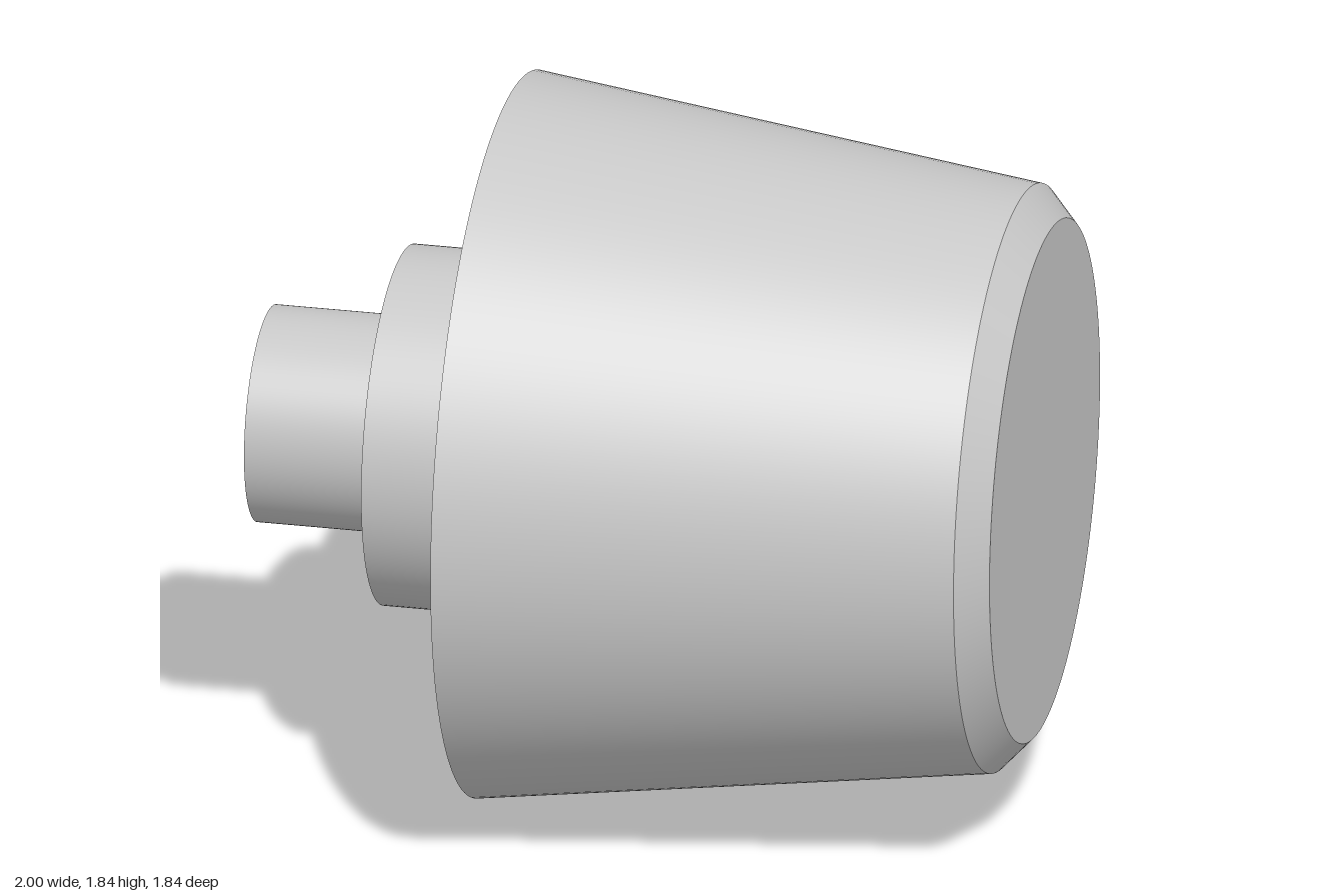
import * as THREE from 'three';
import { mergeGeometries } from 'three/addons/utils/BufferGeometryUtils.js';

const SEGMENTS = 128;
const AXIS_HEIGHT = 0.92;

// Turned part along x: one smooth band per profile span, sharp edges between.
// Profile points are [radius, x], running from the stem end to the wide end.
function turnedPart(name, profile, material) {
  const bands = [];
  for (let i = 0; i < profile.length - 1; i++) {
    const span = [profile[i], profile[i + 1]].map(([r, x]) => new THREE.Vector2(r, x));
    bands.push(new THREE.LatheGeometry(span, SEGMENTS));
  }
  const geometry = mergeGeometries(bands);
  geometry.rotateZ(-Math.PI / 2);
  const mesh = new THREE.Mesh(geometry, material);
  mesh.name = name;
  mesh.position.y = AXIS_HEIGHT;
  return mesh;
}

export function createModel() {
  const model = new THREE.Group();
  model.name = 'taperedBumper';
  const grey = new THREE.MeshStandardMaterial({ color: 0xc8c8c8 });
  grey.name = 'light grey';

  model.add(
    // Narrow stem with its end face
    turnedPart('stem', [[0, -1], [0.275, -1], [0.275, -0.66]], grey),
    // Stepped collar between stem and body
    turnedPart('collar', [[0.275, -0.66], [0.457, -0.66], [0.457, -0.383]], grey),
    // Tapered body with chamfered rim and flat end
    turnedPart('body', [
      [0.457, -0.383], [0.92, -0.383], [0.746, 0.925], [0.664, 1], [0, 1],
    ], grey),
  );
  return model;
}
